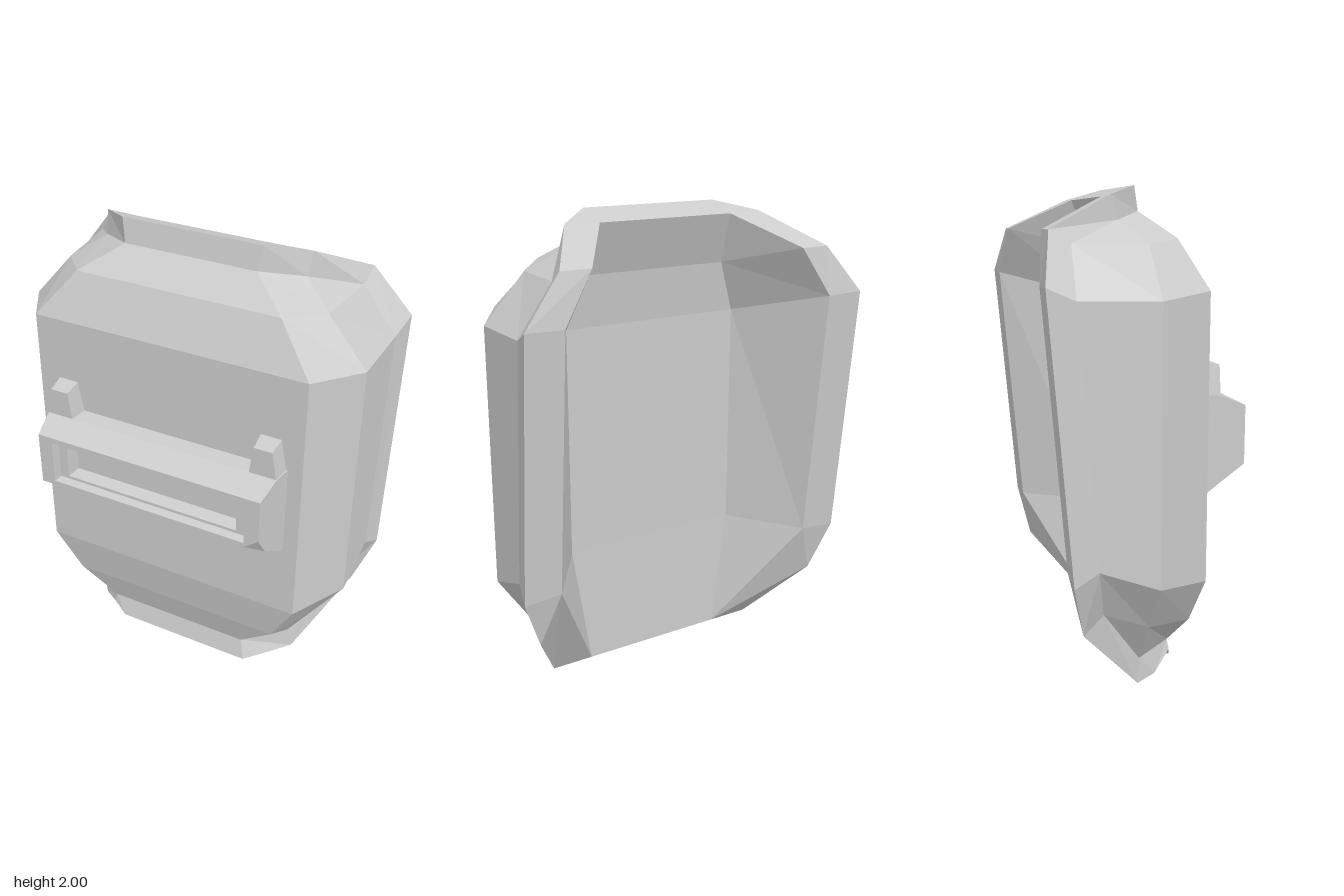
import * as THREE from 'three';
import { ConvexGeometry } from 'three/addons/geometries/ConvexGeometry.js';

const material = new THREE.MeshStandardMaterial({ color: 0xcccccc, flatShading: true });
const flip = ([x, y, z]) => [-x, y, z];

// Flat-shaded skin over rows of points (rows run top to bottom, points left to right).
function skin(name, rows, closed = false) {
  const out = [];
  const tri = (...p) => {
    const [a, b, c] = p.map(q => new THREE.Vector3(...q));
    if (b.sub(a).cross(c.sub(a)).length() > 1e-6) out.push(...p.flat());
  };
  for (let i = 0; i < rows.length - 1; i++) {
    const n = rows[i].length;
    for (let j = 0; j < (closed ? n : n - 1); j++) {
      const k = (j + 1) % n;
      tri(rows[i][j], rows[i + 1][j], rows[i + 1][k]);
      tri(rows[i][j], rows[i + 1][k], rows[i][k]);
    }
  }
  const g = new THREE.BufferGeometry();
  g.setAttribute('position', new THREE.Float32BufferAttribute(out, 3));
  g.computeVertexNormals();
  const mesh = new THREE.Mesh(g, material);
  mesh.name = name;
  return mesh;
}

// Half row (centre to +x) to full row (-x to +x); half loop to full loop.
const fullRow = half => [...half.map(flip).reverse(), ...half];
const fullLoop = half => [...half, ...half.map(flip).reverse()];

function createShell() {
  const group = new THREE.Group();
  group.name = 'maskShell';

  // Outer rows: front corner, side fold, lip base
  const B0 = [0.45, 1.865, -0.09], B5 = [0.5, 0.1, -0.01];
  const outer = [
    [[0.29, 1.9, 0.03], B0, B0],
    [[0.45, 1.795, 0.15], [0.58, 1.775, 0], [0.61, 1.78, -0.3]],
    [[0.61, 1.6, 0.235], [0.755, 1.575, 0.01], [0.76, 1.58, -0.31]],
    [[0.61, 0.45, 0.235], [0.755, 0.48, 0.01], [0.76, 0.57, -0.23]],
    [[0.5, 0.25, 0.2], [0.62, 0.28, 0], [0.65, 0.36, -0.19]],
    [[0.335, 0.1, 0.155], B5, B5],
  ];
  group.add(skin('outerShell', outer.map(fullRow)));

  // Inner rows: front corner, rim edge
  const top = [0.31, 1.955, -0.125], low = [0.33, 0, -0.02];
  const r1 = [0.49, 1.83, -0.39], r2 = [0.62, 1.625, -0.42], r3 = [0.62, 0.53, -0.325];
  const inner = [
    [top, top],
    [[0.33, 1.74, -0.04], r1],
    [[0.41, 1.52, -0.01], r2],
    [[0.41, 0.53, -0.01], r3],
    [low, low],
  ];
  group.add(skin('innerShell', inner.map(fullRow).reverse()));

  // Flared lip: inner edge, outer edge, base on the shell
  const foot = outer[5][0];
  const innerEdge = fullLoop([top, top, r1, r2, r3, r3, low, low, low, low]);
  const outerEdge = fullLoop([
    [0.31, 2, 0.01], [0.46, 1.96, -0.12], [0.62, 1.83, -0.385], [0.785, 1.63, -0.425],
    [0.785, 0.52, -0.33], [0.7, 0.3, -0.28], [0.52, 0, -0.02],
    [0.45, 0.004, 0.07], [0.36, 0.009, 0.18], [0.28, 0.009, 0.18],
  ]);
  outerEdge[11] = [-0.35, 0.06, 0.16]; // dent in one lower corner
  const base = fullLoop([
    outer[0][0], ...outer.slice(0, 5).map(r => r[2]), B5, foot, foot, foot,
  ]);
  group.add(skin('lip', [innerEdge, outerEdge, base], true));
  return group;
}

function createVisor() {
  const group = new THREE.Group();
  group.name = 'visor';

  // Rectangular loop; the lower +x corner may be chipped by (cx, cy)
  const loop = (x, y0, y1, z, cx = 0, cy = 0) => [
    [-x, y1, z], [x, y1, z], [x, y0 + cy, z], [x - cx, y0, z], [-x, y0, z],
  ];
  group.add(skin('visorFrame', [
    loop(0.547, 0.78, 1.19, 0.235),
    loop(0.533, 0.829, 1.185, 0.31),
    loop(0.524, 0.868, 1.16, 0.37),
    loop(0.515, 0.9, 1.14, 0.42, 0.065, 0.05),
    loop(0.45, 0.92, 1.115, 0.42),
    loop(0.44, 0.927, 1.108, 0.385),
    loop(0.4, 0.94, 1.095, 0.385),
    loop(0.385, 0.952, 1.085, 0.33),
  ], true));
  group.add(skin('lens', [
    [[-0.385, 1.085, 0.33], [0.385, 1.085, 0.33]],
    [[-0.385, 0.952, 0.33], [0.385, 0.952, 0.33]],
  ]));

  // Tapered tabs above the frame
  for (const s of [-1, 1]) {
    const corners = [
      [0.397, 1.17, 0.23], [0.545, 1.17, 0.23], [0.412, 1.17, 0.31], [0.532, 1.17, 0.31],
      [0.425, 1.325, 0.23], [0.515, 1.325, 0.23], [0.43, 1.305, 0.31], [0.51, 1.305, 0.31],
    ].map(([x, y, z]) => new THREE.Vector3(s * x, y, z));
    const tab = new THREE.Mesh(new ConvexGeometry(corners), material);
    tab.name = s > 0 ? 'leftTab' : 'rightTab';
    group.add(tab);
  }
  return group;
}

export function createModel() {
  const model = new THREE.Group();
  model.name = 'weldingMask';
  model.add(createShell(), createVisor());
  return model;
}
